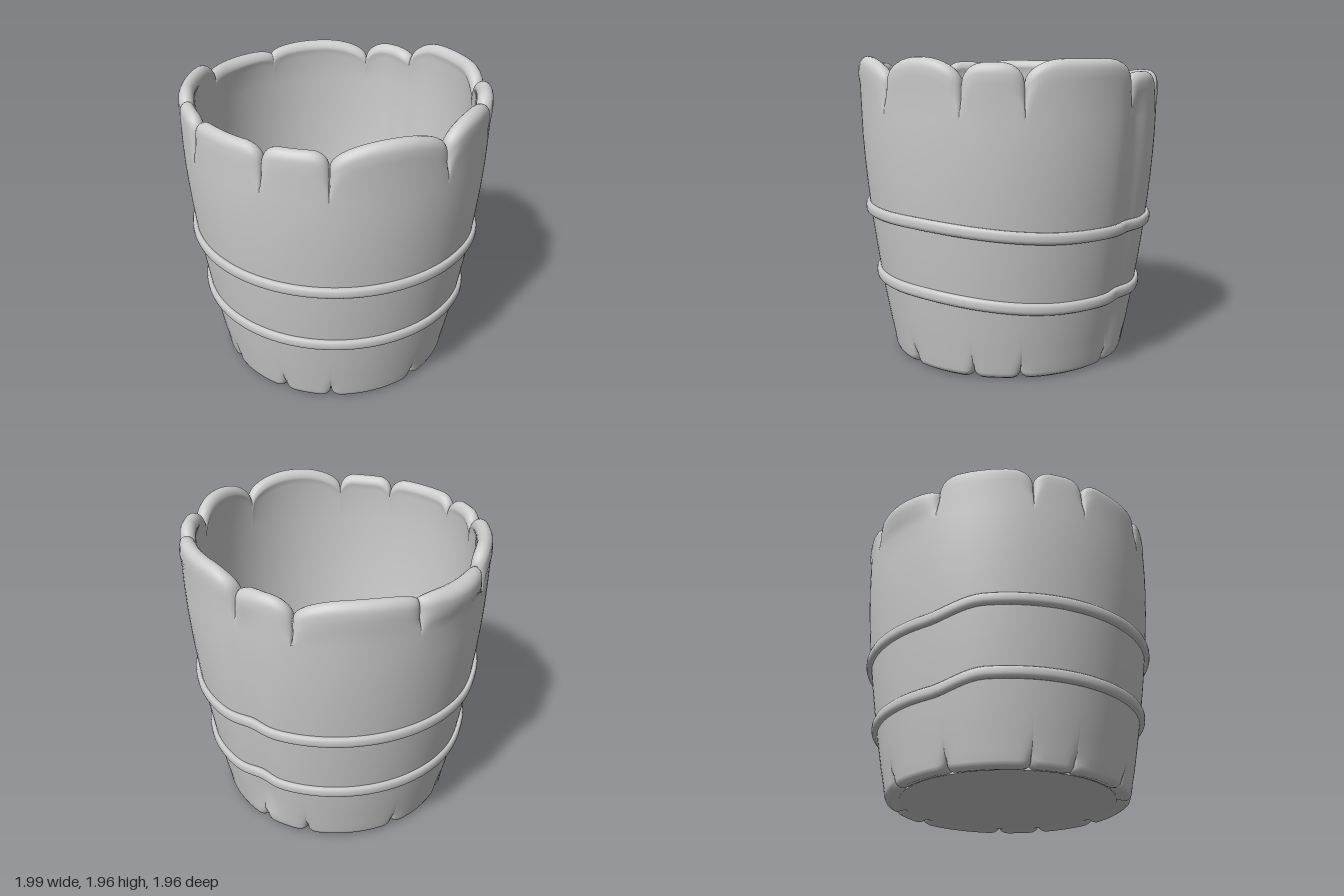
import * as THREE from 'three';

// Staves: [start angle in degrees, top height, shoulder width in degrees, outward flare of the lip]
const STAVES = [
  [0, 1.96, 22, 0.01], [43.5, 1.91, 6, 0], [67, 1.91, 7, 0], [100, 1.91, 7, 0],
  [120, 1.92, 9, 0.005], [157, 1.84, 9, 0.035], [192, 1.87, 20, 0.01], [236, 1.87, 10, 0],
  [259, 1.95, 14, 0.01], [305, 1.93, 8, 0.01], [327, 1.96, 16, 0.01],
];
const STEPS = 20;

const smooth = THREE.MathUtils.smoothstep;
const outerR = y => 0.975 - 0.2 * Math.pow(Math.max(0, 1 - y / 1.6), 1.6);

// Pinched seam running down the back of the wall
const dent = a => 0.035 * Math.exp(-(((a - 256) / 7) ** 2));

// The hoops hang lower around the back right
const sag = a => 0.07 * smooth(a, 138, 162) * (1 - smooth(a, 285, 352));

// Angular columns, packed closer towards the notches between staves
const COLUMNS = [];
STAVES.forEach(([start, top, width, flare], i) => {
  const next = STAVES[(i + 1) % STAVES.length];
  const end = i + 1 < STAVES.length ? next[0] : 360;
  for (let k = 0; k < STEPS; k++) {
    const u = (1 - Math.cos(Math.PI * k / STEPS)) / 2;
    const a = start + (end - start) * u;
    const d = Math.min(a - start, end - a);
    const round = w => 1 - Math.sqrt(1 - (1 - Math.min(1, d / w)) ** 2);
    const notchY = start === 192 && u > 0.5 || start === 236 && u < 0.5 ? 1.75 : 1.81;
    const floorY = k === 0 ? Math.min(1.81, start === 236 ? 1.75 : 1.81) : notchY;
    const drop = round(width);
    COLUMNS.push({
      a,
      top: top + (floorY - top) * drop,
      pinch: round(5),
      flare: flare * Math.sin(Math.PI * u),
    });
  }
});

// Sweeps a cross-section of [radius, height] points around the bucket
function sweep(section, closed) {
  const pos = [], index = [];
  let m = 0;
  COLUMNS.forEach(c => {
    const pts = section(c), t = THREE.MathUtils.degToRad(c.a);
    m = pts.length;
    pts.forEach(([r, y]) => pos.push(r * Math.cos(t), y, r * Math.sin(t)));
  });
  const n = COLUMNS.length;
  for (let i = 0; i < n; i++) {
    for (let j = 0; j < (closed ? m : m - 1); j++) {
      const i2 = (i + 1) % n, j2 = (j + 1) % m;
      const a = i * m + j, b = i * m + j2, c = i2 * m + j, d = i2 * m + j2;
      index.push(a, b, c, b, d, c);
    }
  }
  const geo = new THREE.BufferGeometry();
  geo.setAttribute('position', new THREE.Float32BufferAttribute(pos, 3));
  geo.setIndex(index);
  geo.computeVertexNormals();
  return geo;
}

// Underside, outer wall, rounded lip and inner wall
function wallSection({ a, top, pinch, flare }) {
  const g = dent(a), pts = [];
  const foot = 0.005 + 0.04 * pinch, tuck = 0.03 * pinch;
  pts.push([0.66, 0.035], [0.71 - tuck, foot + 0.008], [0.75 - tuck, foot],
    [0.775 - tuck, foot + 0.015], [0.785 - tuck, foot + 0.04], [outerR(0.1) - tuck * 0.3, 0.11]);
  for (let y = 0.2; y < 1.65; y += 0.14) pts.push([outerR(y) - g, y]);
  // rounded lip
  const lip = 0.975 + flare - g * 0.6 - 0.035 * pinch;
  const inner = 0.88 - g + 0.01 * pinch;
  const mid = (lip + inner) / 2, half = (lip - inner) / 2;
  pts.push([0.975 + flare * 0.4 - g, top - 0.17], [lip + 0.003, top - 0.11]);
  for (let k = 0; k <= 10; k++) {
    const t = Math.PI * k / 10;
    pts.push([mid + half * Math.cos(t), top - 0.06 + 0.06 * Math.sin(t)]);
  }
  // inner wall
  pts.push([0.893 - g, top - 0.1]);
  [[0.895, 1.6], [0.885, 1.35], [0.865, 1.1], [0.83, 0.8], [0.78, 0.5], [0.72, 0.25], [0.665, 0.08]]
    .forEach(([r, y]) => pts.push([r - g * Math.min(1, y), y]));
  return pts;
}

// Flat hoop with softened edges
const hoopSection = height => ({ a }) => {
  const y = height - sag(a), r = outerR(y) - dent(a) * 0.8;
  return [[-0.02, -0.036], [0.016, -0.036], [0.026, -0.028], [0.031, -0.012], [0.031, 0.012],
    [0.026, 0.028], [0.016, 0.036], [-0.02, 0.036]].map(([dr, dy]) => [r + dr, y + dy]);
};

export function createModel() {
  const model = new THREE.Group();
  model.name = 'bucket';
  const material = new THREE.MeshStandardMaterial({ color: 0xcccccc });
  const add = (name, geometry) => {
    const mesh = new THREE.Mesh(geometry, material);
    mesh.name = name;
    model.add(mesh);
    return mesh;
  };

  add('staveWall', sweep(wallSection, false));
  add('lowerHoop', sweep(hoopSection(0.54), true));
  add('upperHoop', sweep(hoopSection(0.985), true));

  // Base board: its top is the inside floor, its underside the bottom
  add('base', new THREE.CylinderGeometry(0.685, 0.69, 0.1, 48)).position.y = 0.07;

  model.position.x = 0.005;
  return model;
}
